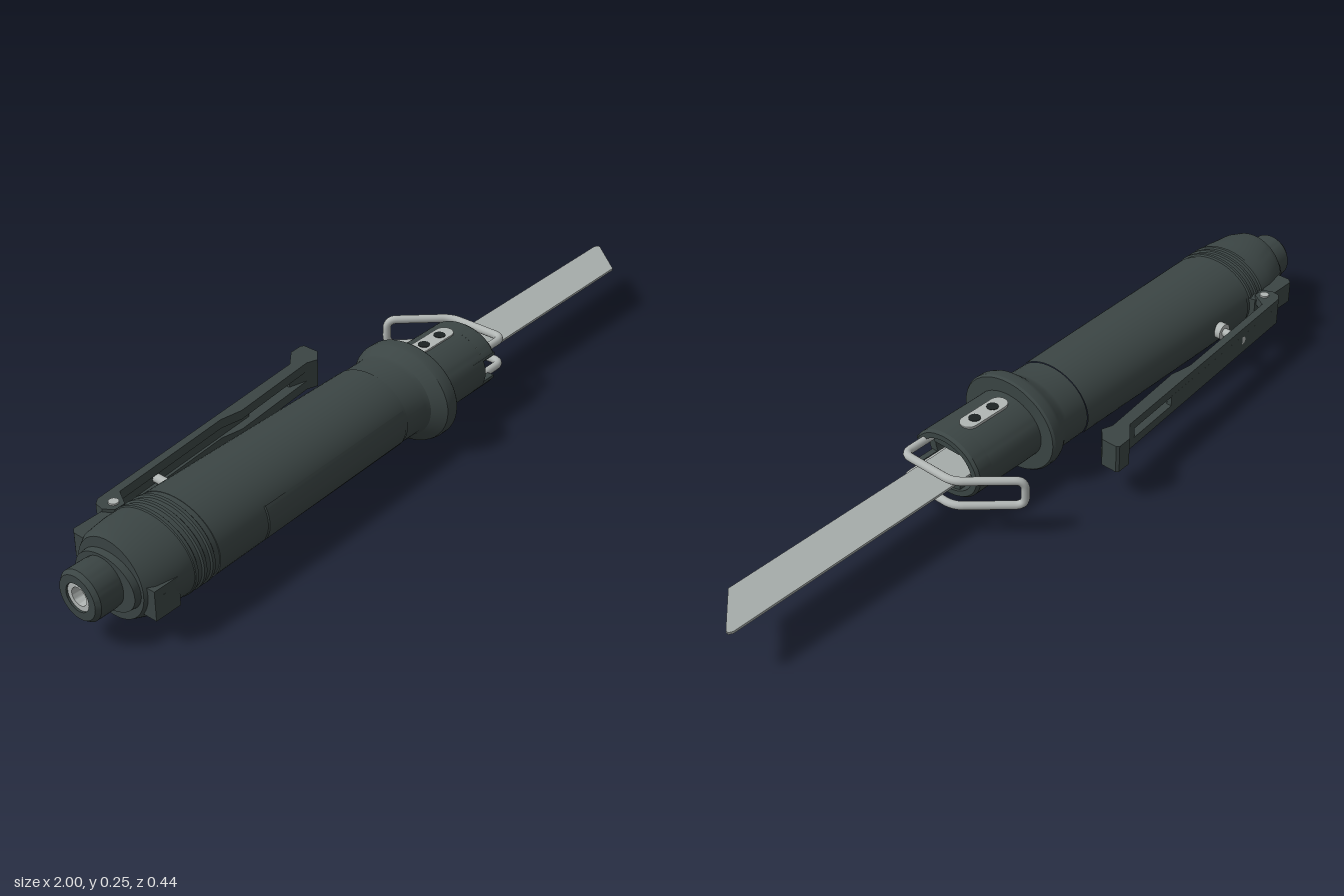
import * as THREE from 'three';
import { toCreasedNormals } from 'three/addons/utils/BufferGeometryUtils.js';

const DARK = new THREE.MeshStandardMaterial({ color: 0x3b4544 });
const STEEL = new THREE.MeshStandardMaterial({ color: 0xb2b7b5 });
const BLADE = new THREE.MeshStandardMaterial({ color: 0xa6acaa });
const BLACK = new THREE.MeshStandardMaterial({ color: 0x1c2222 });
const CY = 0.125; // height of the tool axis

export function createModel() {
  const model = new THREE.Group();

  function add(name, geometry, material, x = 0, y = 0, z = 0, parent = model) {
    const mesh = new THREE.Mesh(geometry, material);
    mesh.name = name;
    mesh.position.set(x, y, z);
    parent.add(mesh);
    return mesh;
  }
  const box = (name, mat, x0, x1, y0, y1, z0, z1, parent) =>
    add(name, new THREE.BoxGeometry(x1 - x0, y1 - y0, z1 - z0), mat,
      (x0 + x1) / 2, (y0 + y1) / 2, (z0 + z1) / 2, parent);

  // Elliptical loft along x; each section is [x, centre z, radius z, radius y]
  function loft(sections, a0 = 0, a1 = Math.PI * 2, n = 56) {
    const pos = [], idx = [];
    sections.forEach(([x, cz, rz, ry], i) => {
      for (let j = 0; j <= n; j++) {
        const a = a0 + (a1 - a0) * j / n;
        pos.push(x, CY + ry * Math.cos(a), cz + rz * Math.sin(a));
        if (!i || j === n) continue;
        const q = (i - 1) * (n + 1) + j, r = q + n + 1;
        if (sections[i - 1][2] > 0) idx.push(q, q + 1, r);
        if (rz > 0) idx.push(q + 1, r + 1, r);
      }
    });
    const g = new THREE.BufferGeometry();
    g.setAttribute('position', new THREE.Float32BufferAttribute(pos, 3));
    g.setIndex(idx);
    return toCreasedNormals(g, 0.5);
  }

  // Outline in x/z, extruded between two heights
  function slab(points, y0, y1, holes = []) {
    const outline = (p) => p.map(([x, z]) => new THREE.Vector2(x, -z));
    const shape = new THREE.Shape(outline(points));
    holes.forEach((h) => shape.holes.push(new THREE.Path(outline(h))));
    const g = new THREE.ExtrudeGeometry(shape, { depth: y1 - y0, bevelEnabled: false });
    return g.rotateX(-Math.PI / 2).translate(0, y0, 0);
  }

  // Air inlet with an open bore
  add('inlet', loft([
    [-0.94, 0.064, 0, 0], [-0.94, 0.064, 0.032, 0.032], [-1, 0.064, 0.034, 0.034],
    [-1, 0.064, 0.053, 0.053], [-0.99, 0.064, 0.061, 0.061], [-0.94, 0.064, 0.061, 0.061],
    [-0.91, 0.064, 0.057, 0.057]]), DARK);
  add('inletBore', loft([
    [-0.96, 0.064, 0.02, 0.02], [-0.995, 0.064, 0.022, 0.022],
    [-0.995, 0.064, 0.034, 0.034], [-0.96, 0.064, 0.034, 0.034]]), STEEL);

  // Rear cap, grip and front flange
  add('rearCap', loft([
    [-0.928, 0.068, 0, 0], [-0.928, 0.068, 0.088, 0.066], [-0.912, 0.068, 0.09, 0.068],
    [-0.912, 0.068, 0.097, 0.096], [-0.89, 0.068, 0.113, 0.1], [-0.83, 0.068, 0.126, 0.1],
    [-0.795, 0.068, 0.127, 0.1]]), DARK);
  add('grip', loft([
    [-0.8, 0.068, 0.125, 0.099], [-0.72, 0.068, 0.125, 0.099], [-0.72, 0.068, 0.128, 0.1],
    [-0.55, 0.065, 0.126, 0.1], [-0.3, 0.062, 0.123, 0.1], [-0.07, 0.059, 0.119, 0.1]]), DARK);
  for (const x of [-0.79, -0.765, -0.74])
    add('gripRing', loft([
      [x - 0.008, 0.068, 0.124, 0.098], [x - 0.004, 0.068, 0.129, 0.103],
      [x + 0.004, 0.068, 0.129, 0.103], [x + 0.008, 0.068, 0.124, 0.098]]), DARK);
  add('flange', loft([
    [-0.07, 0.059, 0.117, 0.098], [0, 0.059, 0.118, 0.099], [0.012, 0.061, 0.121, 0.102],
    [0.035, 0.071, 0.144, 0.121], [0.045, 0.071, 0.147, 0.124], [0.066, 0.071, 0.147, 0.124],
    [0.072, 0.071, 0.143, 0.12], [0.072, 0.071, 0, 0]]), DARK);
  // Slightly raised grip pad on the front face
  add('gripPad', loft([
    [-0.57, 0.065, 0.124, 0.098], [-0.565, 0.065, 0.129, 0.1015],
    [-0.08, 0.059, 0.121, 0.1015], [-0.072, 0.059, 0.117, 0.098]], 1.13, 2.01, 18), DARK);

  // Exhaust block and screw on the rear cap
  box('exhaustBlock', DARK, -0.905, -0.835, 0.07, 0.145, 0.1, 0.19);
  add('exhaustScrew', new THREE.CylinderGeometry(0.013, 0.013, 0.05, 16), DARK, -0.878, 0.1, 0.178);

  // Blade sleeve, with a notch in its front wall
  add('sleeve', loft([
    [0.15, 0.07, 0, 0], [0.15, 0.07, 0.083, 0.066], [0.24, 0.07, 0.083, 0.066],
    [0.24, 0.07, 0.105, 0.085], [0.06, 0.07, 0.105, 0.085]].reverse()), DARK);
  const notch0 = Math.PI / 2 - 0.4, notch1 = Math.PI / 2 + 0.4;
  add('sleeveLip', loft([
    [0.24, 0.07, 0.105, 0.085], [0.282, 0.07, 0.105, 0.085], [0.29, 0.07, 0.099, 0.08],
    [0.29, 0.07, 0.083, 0.066], [0.24, 0.07, 0.083, 0.066]],
  notch1, notch0 + Math.PI * 2), DARK);
  for (const s of [-1, 1]) {
    const y = CY + s * 0.033;
    box('notchCheek', DARK, 0.2, 0.288, y - 0.004, y + 0.004, 0.135, 0.165);
    box('clampJaw', DARK, 0.14, 0.283, CY + s * 0.058 - 0.014, CY + s * 0.058 + 0.014, 0.032, 0.112);
    // Clamp plate with two screws
    const plate = new THREE.Group();
    plate.name = 'clampPlate';
    model.add(plate);
    const py = CY + s * 0.083;
    box('plateBar', STEEL, 0.115, 0.215, py - 0.005, py + 0.005, 0.04, 0.086, plate);
    for (const x of [0.115, 0.215])
      add('plateEnd', new THREE.CylinderGeometry(0.023, 0.023, 0.01, 20), STEEL, x, py, 0.063, plate);
    for (const x of [0.135, 0.196])
      add('plateScrew', new THREE.CylinderGeometry(0.015, 0.015, 0.012, 16), BLACK, x, py, 0.063, plate);
  }
  box('bladeHolder', STEEL, 0.14, 0.235, 0.085, 0.165, 0.035, 0.11);
  add('blade', slab([[0.18, 0], [0.99, 0], [1, 0.006], [0.998, 0.014], [0.91, 0.112], [0.18, 0.112]],
    CY - 0.003, CY + 0.003), BLADE);

  // Bent wire guard: two legs joined by a crossbar, corners rounded
  const leg = [[0.17, 0.138], [0.358, 0.138], [0.358, -0.02], [0.245, -0.142]];
  const corners = [
    ...leg.map(([x, z]) => new THREE.Vector3(x, 0.162, z)),
    ...leg.slice().reverse().map(([x, z]) => new THREE.Vector3(x, 0.091, z))];
  const path = new THREE.CurvePath();
  let from = corners[0];
  for (let i = 1; i < corners.length - 1; i++) {
    const c = corners[i], r = 0.025;
    const a = c.clone().add(corners[i - 1].clone().sub(c).setLength(r));
    const b = c.clone().add(corners[i + 1].clone().sub(c).setLength(r));
    path.add(new THREE.LineCurve3(from, a));
    path.add(new THREE.QuadraticBezierCurve3(a, c, b));
    from = b;
  }
  path.add(new THREE.LineCurve3(from, corners[corners.length - 1]));
  add('wireGuard', new THREE.TubeGeometry(path, 220, 0.0105, 12), STEEL);

  // Throttle lever: channel with two side walls, a slotted back and a hooked tip
  const wall = [[-0.79, -0.085], [-0.785, -0.11], [-0.77, -0.121], [-0.08, -0.183], [-0.035, -0.219],
    [0.004, -0.221], [0.01, -0.215], [0.01, -0.172], [-0.02, -0.145], [-0.05, -0.155],
    [-0.31, -0.127], [-0.37, -0.137], [-0.72, -0.104], [-0.745, -0.062], [-0.775, -0.062]];
  const web = [[-0.775, -0.108], [-0.77, -0.121], [-0.26, -0.167], [-0.26, -0.153]];
  const tip = [[-0.1, -0.168], [-0.1, -0.181], [-0.08, -0.183], [-0.035, -0.219], [0.004, -0.221],
    [0.01, -0.215], [0.01, -0.172], [-0.02, -0.145], [-0.05, -0.155]];
  const lever = new THREE.Group();
  lever.name = 'lever';
  model.add(lever);
  for (const y of [0.088, 0.139])
    add('leverWall', slab(wall, y, y + 0.024), DARK, 0, 0, 0, lever);
  add('leverBack', slab(web, 0.11, 0.141), DARK, 0, 0, 0, lever);
  add('leverTip', slab(tip, 0.11, 0.141), DARK, 0, 0, 0, lever);

  // Lever mount, hinge pin and valve plunger
  add('leverMount', slab([[-0.88, 0], [-0.88, -0.075], [-0.87, -0.088], [-0.785, -0.088],
    [-0.735, -0.07], [-0.72, 0]], 0.095, 0.155), DARK);
  add('hingePin', new THREE.CylinderGeometry(0.012, 0.012, 0.085, 16), STEEL, -0.758, CY, -0.083);
  add('valveCollar', new THREE.CylinderGeometry(0.022, 0.022, 0.03, 20).rotateX(Math.PI / 2),
    STEEL, -0.595, CY, -0.062);
  add('valvePlunger', new THREE.CylinderGeometry(0.011, 0.011, 0.09, 16).rotateX(Math.PI / 2),
    STEEL, -0.595, CY, -0.092);

  return model;
}
